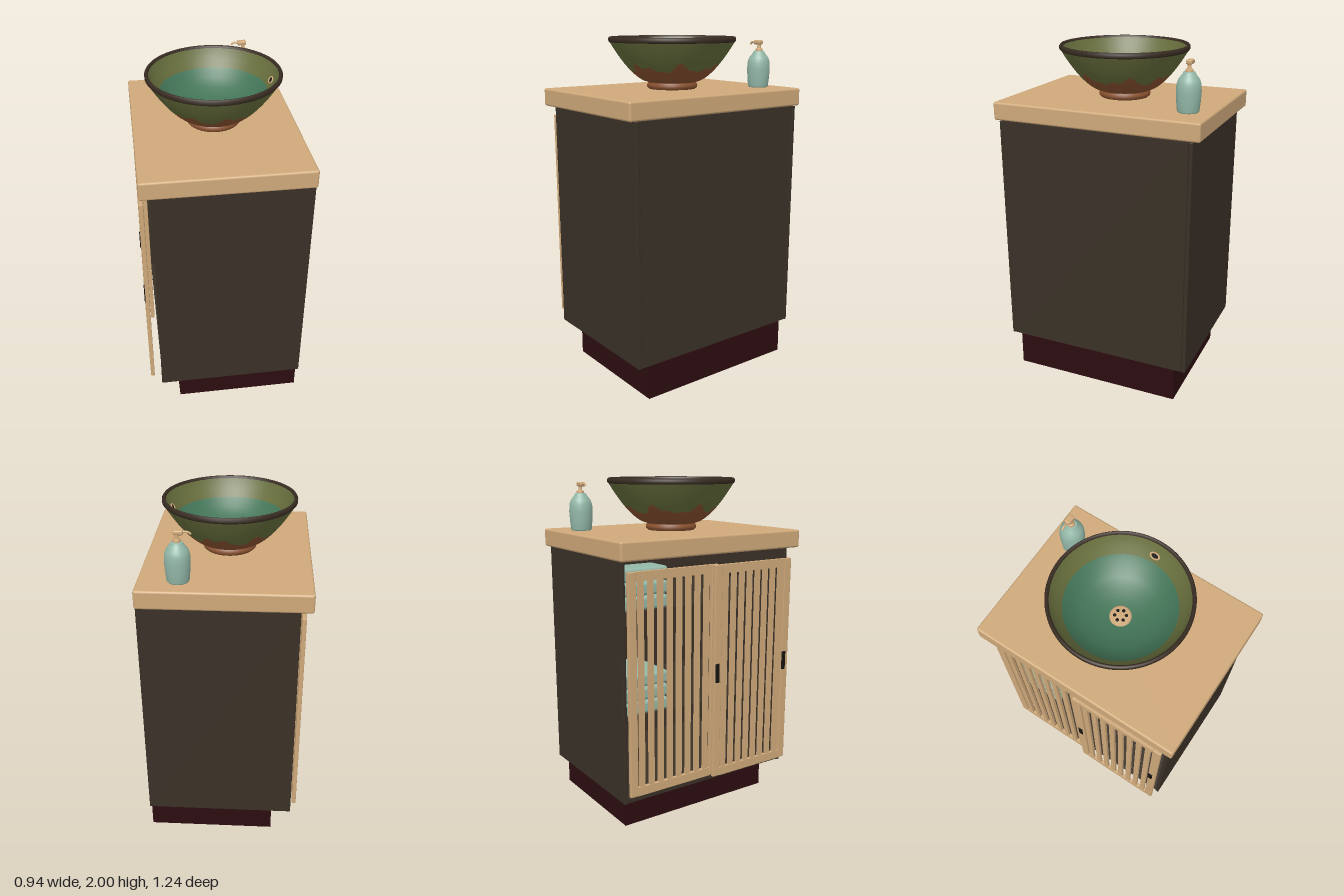
import * as THREE from 'three';
import { RoundedBoxGeometry } from 'three/addons/geometries/RoundedBoxGeometry.js';
import { ParametricGeometry } from 'three/addons/geometries/ParametricGeometry.js';

const paint = (name, color, side = THREE.FrontSide) => {
  const m = new THREE.MeshStandardMaterial({ color, side });
  m.name = name;
  return m;
};

export function createModel() {
  const model = new THREE.Group();
  model.name = 'washstand';
  const lightWood = paint('light wood', 0xcfa97a);
  const darkWood = paint('dark wood', 0x3a3127);
  const plinthRed = paint('dark red plinth', 0x2c0d10);
  const oliveGlaze = paint('olive glaze', 0x686f3d);
  const tealGlaze = paint('teal glaze', 0x437558);
  const clay = paint('bare clay', 0x8a5230);
  const rimGlaze = paint('dark rim glaze', 0x382c22);
  const paleGreen = paint('pale green', 0x93b8a8);
  const black = paint('black', 0x15120f);

  const add = (name, geo, mat, parent = model) => {
    const m = new THREE.Mesh(geo, mat);
    m.name = name;
    parent.add(m);
    return m;
  };
  // Box given by its minimum and maximum corners
  const box = (name, mat, [x0, y0, z0], [x1, y1, z1], r = 0, parent = model) => {
    const s = [x1 - x0, y1 - y0, z1 - z0];
    const geo = r ? new RoundedBoxGeometry(...s, 2, r) : new THREE.BoxGeometry(...s);
    const m = add(name, geo, mat, parent);
    m.position.set((x0 + x1) / 2, (y0 + y1) / 2, (z0 + z1) / 2);
    return m;
  };
  const lathe = (name, pts, mat, seg = 64, parent = model) =>
    add(name, new THREE.LatheGeometry(pts.map(p => new THREE.Vector2(...p)), seg), mat, parent);

  // Counter, plinth and open-sided carcass
  box('counter', lightWood, [-0.465, 1.59, -0.62], [0.465, 1.695, 0.62], 0.012);
  box('plinth', plinthRed, [-0.285, 0, -0.515], [0.465, 0.2, 0.515]);
  for (const s of [-1, 1]) {
    const z = [0.56 * s, 0.582 * s].sort((a, b) => a - b);
    box('sidePanel', darkWood, [-0.4, 0.2, z[0]], [0.465, 1.59, z[1]], 0.004);
  }
  box('backPanel', darkWood, [0.443, 0.204, -0.558], [0.465, 1.59, 0.558]);
  box('floorPanel', darkWood, [-0.395, 0.204, -0.56], [0.443, 0.226, 0.56]);
  box('topPanel', darkWood, [-0.395, 1.568, -0.56], [0.443, 1.59, 0.56]);

  // Shelves with folded towels
  for (const y of [0.7, 1.3]) {
    box('shelf', darkWood, [-0.36, y - 0.02, -0.56], [0.443, y, 0.56]);
    for (let i = 0; i < 3; i++) {
      box('towel', paleGreen, [-0.35, y + i * 0.08, -0.55], [0.0, y + 0.076 + i * 0.08, -0.25], 0.02);
    }
  }

  // Two sliding slatted doors on parallel tracks
  const door = (name, x0, x1, z0, z1) => {
    const g = new THREE.Group();
    g.name = name;
    model.add(g);
    const w = 0.05, y0 = 0.25, y1 = 1.53, n = 8;
    for (const z of [z0, z1 - w]) box('stile', lightWood, [x0, y0, z], [x1, y1, z + w], 0.004, g);
    for (const y of [y0, y1 - w]) box('rail', lightWood, [x0, y, z0 + w], [x1, y + w, z1 - w], 0, g);
    const pitch = (z1 - z0 - 2 * w) / n;
    for (let i = 0; i < n; i++) {
      const c = z0 + w + (i + 0.5) * pitch;
      box('slat', lightWood, [x0 + 0.003, y0 + w, c - 0.016], [x1 - 0.003, y1 - w, c + 0.016], 0, g);
    }
  };
  door('outerDoor', -0.465, -0.442, -0.01, 0.56);
  door('innerDoor', -0.432, -0.408, -0.56, 0.04);
  for (const [x, z] of [[-0.465, 0.525], [-0.465, 0.012]]) {
    box('doorPull', black, [x - 0.005, 0.84, z - 0.014], [x + 0.004, 0.955, z + 0.014], 0.004);
  }

  // Basin outside: glaze runs down over bare clay along a wavy line
  const radius = y => 0.14 + 0.235 * Math.pow((y - 1.735) / 0.24, 0.6);
  const drip = a => 1.822 + 0.018 * Math.sin(7 * a) + 0.01 * Math.sin(12 * a + 1) + 0.007 * Math.sin(19 * a);
  const shell = (name, mat, low, high) =>
    add(name, new ParametricGeometry((u, v, p) => {
      const a = u * Math.PI * 2;
      const y = THREE.MathUtils.lerp(low(a), high(a), v);
      p.set(radius(y) * Math.sin(a), y, radius(y) * Math.cos(a));
    }, 144, 12), mat);
  shell('bowlClay', clay, () => 1.736, drip);
  shell('bowlGlaze', oliveGlaze, drip, () => 1.975);
  lathe('bowlFoot', [[0.138, 1.694], [0.15, 1.704], [0.152, 1.718], [0.145, 1.73], [0.138, 1.738], [0.16, 1.742]], clay);
  lathe('bowlRim', [[0.372, 1.968], [0.379, 1.976], [0.379, 1.99], [0.373, 1.999], [0.366, 2],
    [0.36, 1.994], [0.357, 1.984]], rimGlaze, 96);

  // Basin inside
  lathe('innerWall', [[0.358, 1.987], [0.348, 1.965], [0.33, 1.932], [0.3, 1.89]], oliveGlaze);
  lathe('innerBasin', [[0.3, 1.89], [0.262, 1.845], [0.21, 1.805], [0.14, 1.776], [0.07, 1.762], [0, 1.758]], tealGlaze);

  // Drain with six holes
  lathe('drain', [[0.06, 1.755], [0.06, 1.766], [0.052, 1.772], [0, 1.774]], lightWood, 32);
  for (let i = 0; i < 6; i++) {
    const a = i * Math.PI / 3;
    add('drainHole', new THREE.CylinderGeometry(0.009, 0.009, 0.004, 12), black)
      .position.set(0.031 * Math.cos(a), 1.774, 0.031 * Math.sin(a));
  }

  // Overflow: an oval ring around a dark opening, tilted with the wall
  const overflow = new THREE.Group();
  overflow.name = 'overflow';
  overflow.position.set(0.322, 1.925, 0);
  overflow.rotation.set(0, -Math.PI / 2, 0);
  overflow.rotateX(-0.55);
  model.add(overflow);
  add('overflowRing', new THREE.TorusGeometry(0.022, 0.005, 8, 24), lightWood, overflow).scale.set(1.15, 0.8, 1);
  add('overflowHole', new THREE.CircleGeometry(0.022, 24), black, overflow).scale.set(1.15, 0.8, 1);

  // Soap dispenser
  const soap = new THREE.Group();
  soap.name = 'soapDispenser';
  soap.position.set(0.245, 1.694, -0.478);
  model.add(soap);
  lathe('bottle', [[0, 0], [0.056, 0], [0.061, 0.008], [0.066, 0.06], [0.069, 0.11], [0.067, 0.15],
    [0.058, 0.178], [0.04, 0.2], [0.033, 0.212], [0.03, 0.218], [0, 0.218]], paleGreen, 40, soap);
  lathe('pumpCollar', [[0.022, 0.215], [0.022, 0.228], [0.018, 0.232], [0.011, 0.234], [0.011, 0.262]], lightWood, 24, soap);
  box('pumpHead', lightWood, [-0.035, 0.256, -0.018], [0.018, 0.281, 0.018], 0.008, soap);
  const spout = new THREE.CatmullRomCurve3([[-0.03, 0.27, 0], [-0.06, 0.269, 0], [-0.074, 0.258, 0]]
    .map(p => new THREE.Vector3(...p)));
  add('pumpSpout', new THREE.TubeGeometry(spout, 10, 0.006, 10), lightWood, soap);

  return model;
}
